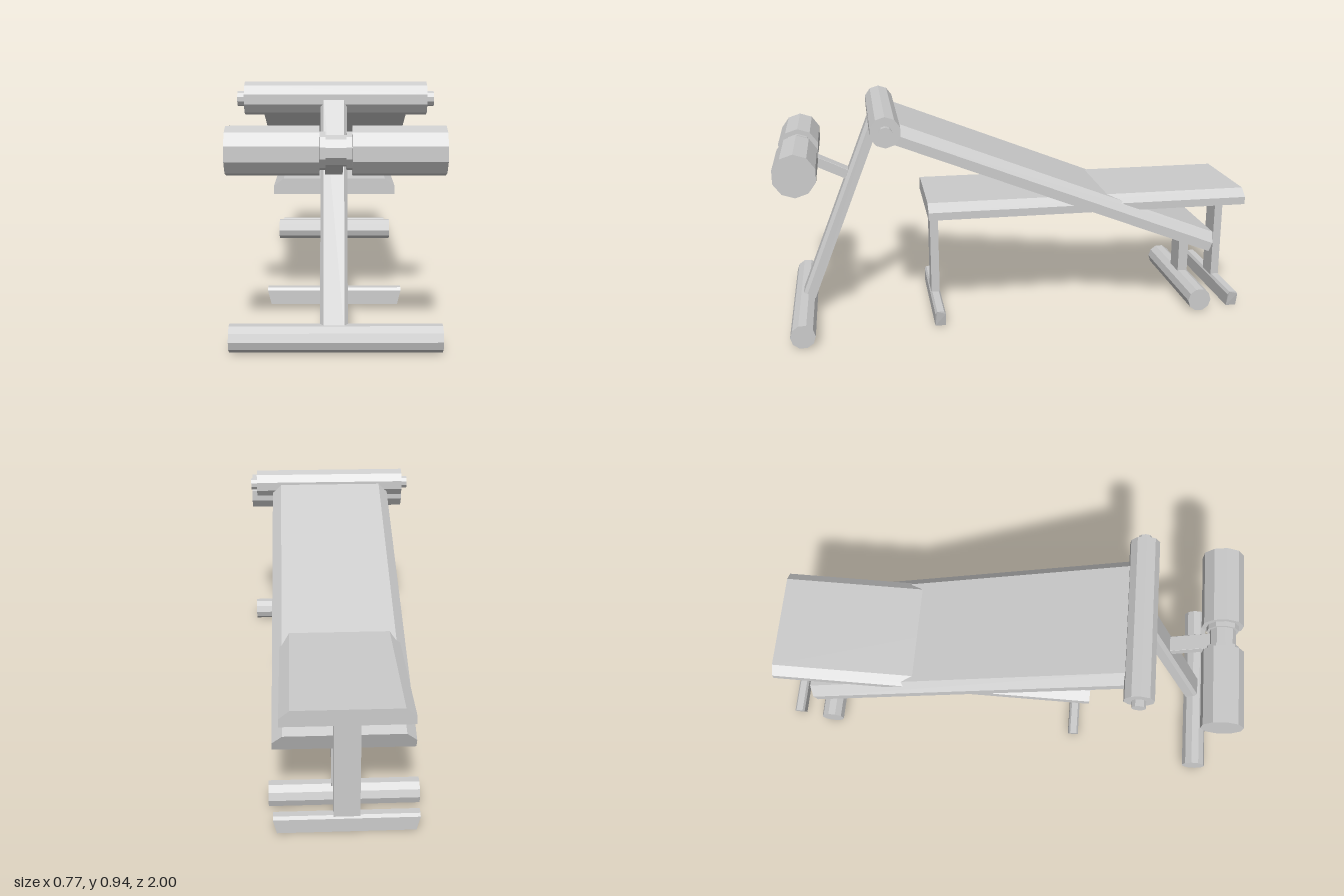
import * as THREE from 'three';

const mat = new THREE.MeshStandardMaterial({ color: 0xcccccc, flatShading: true, side: THREE.DoubleSide });

export function createModel() {
  const model = new THREE.Group();

  function add(parent, name, geo, x = 0, y = 0, z = 0) {
    const mesh = new THREE.Mesh(geo, mat);
    mesh.name = name;
    mesh.position.set(x, y, z);
    parent.add(mesh);
    return mesh;
  }

  // Bar with a bevelled upper side, running along z and centred on the origin
  function bevelBar(width, height, length, bevelX, bevelY) {
    const w = width / 2, h = height / 2;
    const s = new THREE.Shape();
    s.moveTo(-w, -h);
    s.lineTo(w, -h);
    s.lineTo(w, h - bevelY);
    s.lineTo(w - bevelX, h);
    s.lineTo(bevelX - w, h);
    s.lineTo(-w, h - bevelY);
    s.closePath();
    return new THREE.ExtrudeGeometry(s, { depth: length, bevelEnabled: false }).translate(0, 0, -length / 2);
  }

  // Ten-sided roller lying along x; start turns its facets
  function roller(radius, length, start = Math.PI / 2) {
    return new THREE.CylinderGeometry(radius, radius, length, 10, 1, false, start).rotateZ(Math.PI / 2);
  }

  // Place a z-running mesh between two (z, y) points
  function span(parent, name, width, height, a, b, bevelX, bevelY, x) {
    const dz = b[0] - a[0], dy = b[1] - a[1];
    const geo = bevelBar(width, height, Math.hypot(dz, dy), bevelX, bevelY);
    const mesh = add(parent, name, geo, x, (a[1] + b[1]) / 2, (a[0] + b[0]) / 2);
    mesh.rotation.x = -Math.atan2(dy, dz);
    return mesh;
  }

  // Flat bench
  const flat = new THREE.Group();
  flat.name = 'flatBench';
  model.add(flat);
  add(flat, 'flatPad', bevelBar(0.49, 0.065, 1.39, 0.04, 0.032), -0.005, 0.5025, -0.305);

  // T-shaped legs: bevelled foot with undercut ends
  for (const [label, z] of [['front', 0.352], ['rear', -0.962]]) {
    add(flat, label + 'FlatLeg', new THREE.BoxGeometry(0.1, 0.42, 0.036), -0.005, 0.27, z);
    const geo = bevelBar(0.045, 0.07, 0.55, 0.008, 0.012).rotateY(Math.PI / 2);
    const p = geo.attributes.position;
    for (let i = 0; i < p.count; i++) {
      if (p.getY(i) < -0.03) p.setX(i, p.getX(i) * 0.95);
    }
    geo.computeVertexNormals();
    add(flat, label + 'FlatFoot', geo, -0.005, 0.035, z);
  }

  // Inclined bench
  const incline = new THREE.Group();
  incline.name = 'inclineBench';
  model.add(incline);
  span(incline, 'inclinePad', 0.545, 0.08, [-0.85, 0.308], [0.53, 0.854], 0.04, 0.04, -0.002);

  // Knee roller with its axle
  add(incline, 'kneeRoller', roller(0.063, 0.69), 0, 0.877, 0.56);
  add(incline, 'kneeAxle', roller(0.029, 0.746), 0, 0.875, 0.56);

  // Sloping front post, bevelled on its outer side
  span(incline, 'frontPost', 0.1, 0.055, [0.59, 0.875], [0.92, 0.05], 0.012, 0.015, -0.007);

  // Ankle pads on a short arm
  span(incline, 'ankleArm', 0.065, 0.04, [0.71, 0.625], [0.92, 0.727], 0.001, 0.001, -0.007);
  add(incline, 'ankleCore', roller(0.055, 0.12), 0, 0.727, 0.917);
  for (const side of [-1, 1]) {
    add(incline, 'ankleCollar', roller(0.067, 0.022), side * 0.047, 0.727, 0.917);
    add(incline, 'anklePad', roller(0.0875, 0.326), side * 0.22, 0.727, 0.917);
  }

  // Floor rollers and short rear post
  add(incline, 'frontFootRoller', roller(0.0515, 0.766, 0), 0, 0.049, 0.925);
  add(incline, 'rearFootRoller', roller(0.0515, 0.583, 0), -0.003, 0.049, -0.8);
  add(incline, 'rearPost', new THREE.BoxGeometry(0.1, 0.27, 0.044), -0.003, 0.18, -0.802);

  return model;
}
